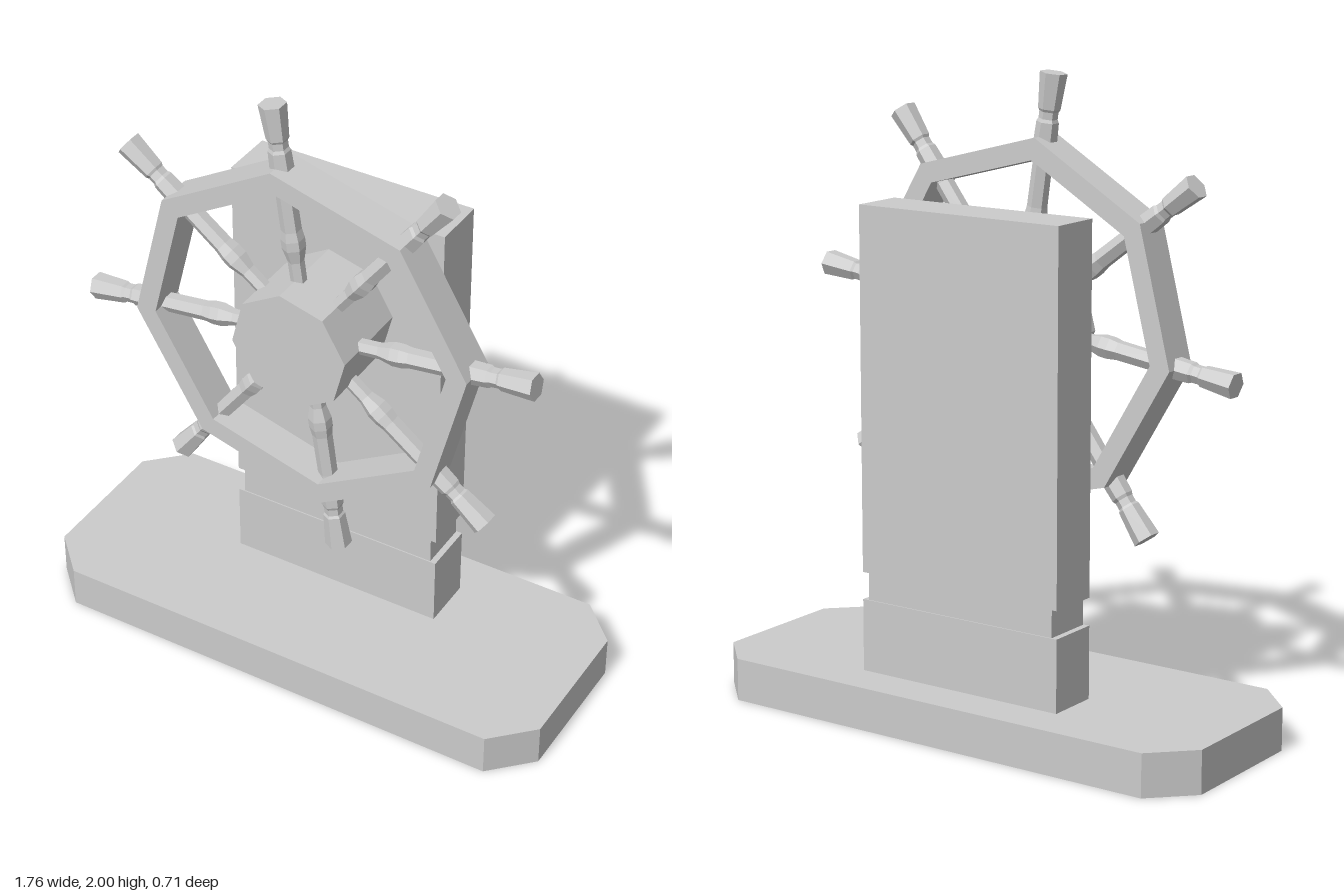
import * as THREE from 'three';

const SIDES = 8;
const PHASE = 0.138; // small turn of the wheel

const material = new THREE.MeshStandardMaterial({ color: 0xcccccc, flatShading: true });

function addMesh(parent, name, geometry, x = 0, y = 0, z = 0) {
  const mesh = new THREE.Mesh(geometry, material);
  mesh.name = name;
  mesh.position.set(x, y, z);
  parent.add(mesh);
  return mesh;
}

function octagon(radius) {
  return Array.from({ length: SIDES }, (_, i) => {
    const a = PHASE + (i * Math.PI * 2) / SIDES;
    return new THREE.Vector2(radius * Math.cos(a), radius * Math.sin(a));
  });
}

const extrude = (shape, depth) => new THREE.ExtrudeGeometry(shape, { depth, bevelEnabled: false });

export function createModel() {
  const model = new THREE.Group();
  model.name = 'shipWheelStand';

  // Base plate with cut corners
  const plan = new THREE.Shape([
    [0.88, 0.23], [0.755, 0.355], [-0.755, 0.355], [-0.88, 0.23],
    [-0.88, -0.23], [-0.755, -0.355], [0.755, -0.355], [0.88, -0.23],
  ].map(([x, z]) => new THREE.Vector2(x, z)));
  addMesh(model, 'base', extrude(plan, 0.136).rotateX(-Math.PI / 2));

  // Upright post: foot, recessed band and tall panel
  const post = new THREE.Group();
  post.name = 'post';
  post.position.set(-0.002, 0, -0.126);
  model.add(post);
  for (const [name, w, d, y0, y1] of [
    ['postFoot', 0.724, 0.174, 0.136, 0.366],
    ['postBand', 0.684, 0.166, 0.366, 0.453],
    ['postPanel', 0.724, 0.174, 0.453, 1.597],
  ]) addMesh(post, name, new THREE.BoxGeometry(w, y1 - y0, d), 0, (y0 + y1) / 2, 0);

  // Hub joining the wheel to the post
  addMesh(model, 'hub', extrude(new THREE.Shape(octagon(0.195)), 0.285), 0, 1.228, -0.045);

  // Wheel, very slightly out of true
  const wheel = new THREE.Group();
  wheel.name = 'wheel';
  wheel.position.set(0, 1.228, 0.131);
  wheel.rotation.set(0.01, -0.013, 0);
  model.add(wheel);

  const rim = new THREE.Shape(octagon(0.577));
  rim.holes.push(new THREE.Path(octagon(0.508).reverse()));
  addMesh(wheel, 'rim', extrude(rim, 0.122), 0, 0, -0.061);

  // Turned six-sided spokes with handles outside the rim
  const profile = [
    [0, 0.1], [0.024, 0.12], [0.025, 0.255], [0.036, 0.30], [0.036, 0.33], [0.031, 0.36],
    [0.030, 0.50], [0.036, 0.56], [0.034, 0.62], [0.029, 0.63], [0.029, 0.652],
    [0.034, 0.660], [0.042, 0.770], [0, 0.770],
  ].map(([r, y]) => new THREE.Vector2(r, y));
  const spokeGeometry = new THREE.LatheGeometry(profile, 6);
  for (let i = 0; i < SIDES; i++) {
    const spoke = addMesh(wheel, 'spoke', spokeGeometry);
    spoke.rotation.z = PHASE + (i * Math.PI * 2) / SIDES;
  }

  return model;
}
